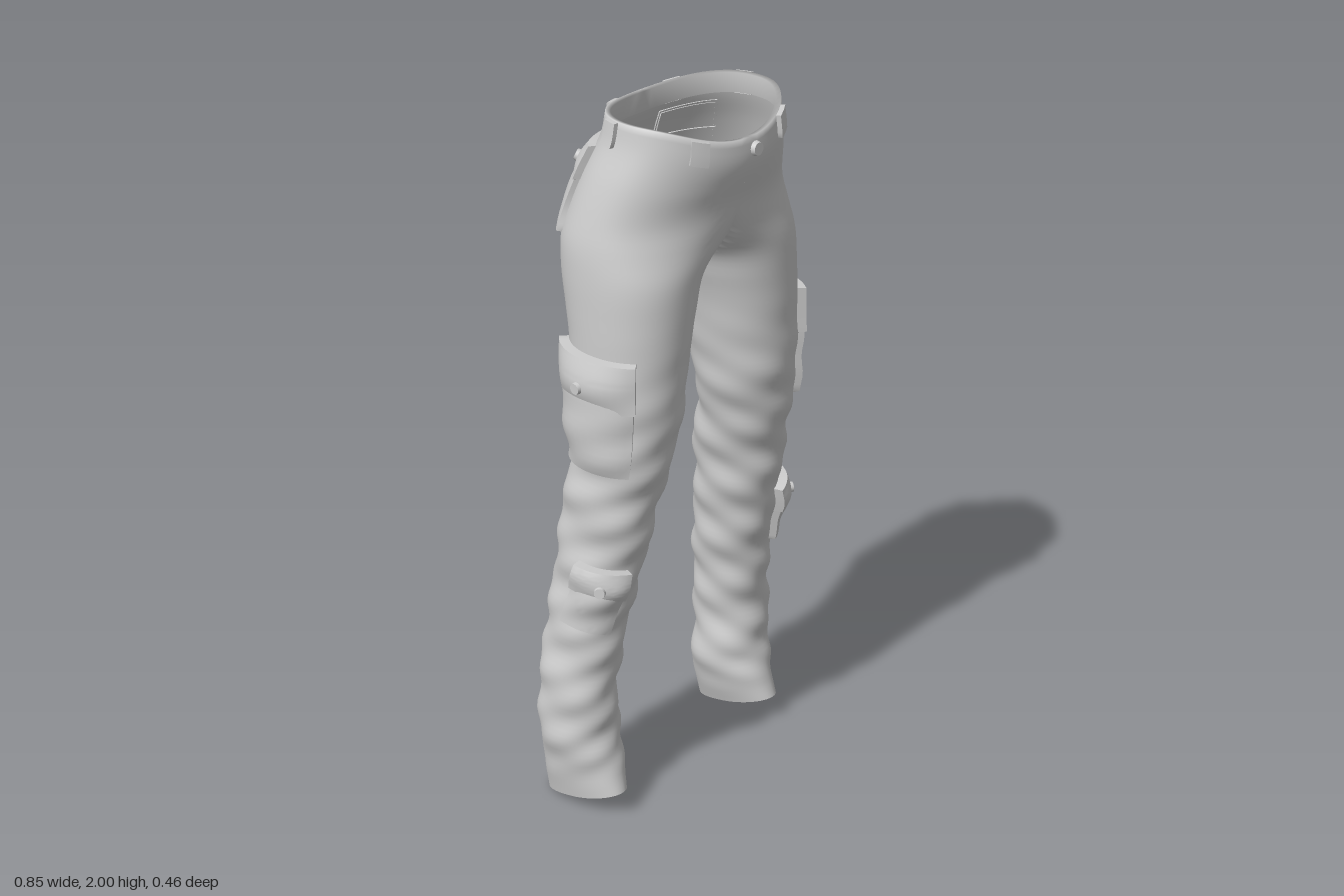
import * as THREE from 'three';
import { toCreasedNormals } from 'three/addons/utils/BufferGeometryUtils.js';

const cloth = new THREE.MeshStandardMaterial({ color: 0xcccccc, side: THREE.DoubleSide });
const rad = THREE.MathUtils.degToRad;

// Leg profile from waist to hem: y, outer x, inner x, front z, back z
const KEYS = [
  [2.0, 0.25, -0.25, 0.225, -0.14], [1.94, 0.262, -0.262, 0.228, -0.15],
  [1.85, 0.295, -0.295, 0.212, -0.185], [1.75, 0.325, -0.3, 0.19, -0.215],
  [1.68, 0.342, -0.14, 0.18, -0.215], [1.6, 0.35, 0, 0.18, -0.19],
  [1.5, 0.353, 0.045, 0.178, -0.165], [1.4, 0.355, 0.07, 0.175, -0.145],
  [1.2, 0.36, 0.1, 0.165, -0.128], [1.08, 0.362, 0.125, 0.145, -0.112],
  [0.98, 0.366, 0.148, 0.125, -0.15], [0.8, 0.375, 0.175, 0.09, -0.165],
  [0.6, 0.39, 0.2, 0.045, -0.19], [0.4, 0.413, 0.222, 0.02, -0.205],
  [0.28, 0.42, 0.222, 0.02, -0.206], [0.18, 0.413, 0.215, 0.03, -0.206],
  [0.1, 0.398, 0.235, 0.05, -0.204], [0.04, 0.387, 0.255, 0.07, -0.2],
];

// Smooth (Hermite) interpolation of the profile at height y
function section(y) {
  let i = 0;
  while (i < KEYS.length - 2 && y < KEYS[i + 1][0]) i++;
  const p = KEYS[i], q = KEYS[i + 1], o = KEYS[i - 1] || p, r = KEYS[i + 2] || q;
  const h = q[0] - p[0], t = (y - p[0]) / h;
  return [1, 2, 3, 4].map((k) => {
    const m0 = ((q[k] - o[k]) / (q[0] - o[0])) * h, m1 = ((r[k] - p[k]) / (r[0] - p[0])) * h;
    const t2 = t * t, t3 = t2 * t;
    return (2 * t3 - 3 * t2 + 1) * p[k] + (t3 - 2 * t2 + t) * m0 + (3 * t2 - 2 * t3) * q[k] + (t3 - t2) * m1;
  });
}

// Point on the cloth at height y and angle a (0 = outer side, 90 degrees = front)
function surface(y, a, off = 0) {
  const [out, inn, front, back] = section(y);
  const c = Math.cos(a), s = Math.sin(a);
  const soft = (v) => Math.sign(v) * Math.abs(v) ** 0.94;
  // soft folds around the knee and shin
  const folds = THREE.MathUtils.smoothstep(1.5 - y, 0, 0.5) * THREE.MathUtils.smoothstep(y, 0.05, 0.2);
  const wave = folds * (0.004 * Math.sin(34 * y + 2 * a) + 0.003 * Math.sin(57 * y - 3 * a + 1));
  const d = off + wave;
  const x = (out + inn) / 2 + ((out - inn) / 2) * soft(c) + d * c;
  const z = (front + back) / 2 + ((front - back) / 2) * soft(s) + d * s;
  // slanted hem and dipped waist edge
  const hem = (1 - THREE.MathUtils.smoothstep(y, 0.04, 0.35)) * 0.04 * s;
  const dip = THREE.MathUtils.smoothstep(y, 1.75, 1.95) * (s > 0 ? 0.055 : 0.018) * Math.abs(s) ** 3;
  return new THREE.Vector3(x, y + hem - dip, z);
}

// Skin rows of points; side = -1 mirrors; faces lying in the centre plane are dropped
function skin(rows, side, closed) {
  const n = rows[0].length, pos = [], idx = [];
  rows.flat().forEach((p) => pos.push(p.x * side, p.y, p.z));
  const tri = (a, b, c) => {
    if ([a, b, c].every((i) => Math.abs(pos[3 * i]) < 1e-6)) return;
    if (side > 0) idx.push(a, b, c); else idx.push(a, c, b);
  };
  for (let i = 0; i < rows.length - 1; i++) {
    for (let j = 0; j < (closed ? n : n - 1); j++) {
      const k = (j + 1) % n, a = i * n + j, b = i * n + k;
      tri(a, b, a + n);
      tri(b, b + n, a + n);
    }
  }
  const g = new THREE.BufferGeometry();
  g.setAttribute('position', new THREE.Float32BufferAttribute(pos, 3));
  g.setIndex(idx);
  g.computeVertexNormals();
  return g;
}

function add(parent, name, geometry) {
  const m = new THREE.Mesh(geometry, cloth);
  m.name = name;
  parent.add(m);
  return m;
}

// One leg with its half of the hips
function legGeometry(side) {
  const N = 64, ROWS = 110, rows = [];
  const ring = (y, off) => Array.from({ length: N }, (_, j) => {
    const p = surface(y, (j / N) * Math.PI * 2, off);
    p.x = Math.max(0, p.x);
    return p;
  });
  rows.push(ring(1.94, -0.014), ring(1.998, -0.014)); // inner waistband
  for (let i = 0; i <= ROWS; i++) rows.push(ring(2 - (1.96 * i) / ROWS, 0));
  const g = skin(rows, side, true);
  // smooth shading across the centre seam
  const p = g.attributes.position, nor = g.attributes.normal, v = new THREE.Vector3();
  for (let i = 0; i < p.count; i++) {
    if (Math.abs(p.getX(i)) > 1e-6) continue;
    v.set(0, nor.getY(i), nor.getZ(i)).normalize();
    nor.setXYZ(i, v.x, v.y, v.z);
  }
  return g;
}

// Raised patch that follows the cloth: angles in degrees, puffed in the middle
function patch(side, { a0, a1, y0, y1, thick, puff = 0, skew = 0, tilt = 0, n = 14 }) {
  const steps = [0, ...Array.from({ length: n + 1 }, (_, i) => 0.015 + (0.97 * i) / n), 1];
  const rows = steps.map((v) => steps.map((u) => {
    const edge = u === 0 || u === 1 || v === 0 || v === 1;
    const bulge = puff * Math.sin(Math.PI * u) * Math.sin(Math.PI * v);
    const a = rad(a0 + (a1 - a0) * u + skew * v);
    return surface(y1 + (y0 - y1) * v + tilt * (0.5 - u), a, edge ? -0.006 : thick + bulge);
  }));
  return toCreasedNormals(skin(rows, side, false), rad(50));
}

// Round button seated on the cloth
function button(parent, name, side, y, deg, off, r = 0.017) {
  const a = rad(deg), p = surface(y, a, off);
  const du = surface(y, a + 0.05, off).sub(p), dv = surface(y - 0.02, a, off).sub(p);
  const normal = du.cross(dv).normalize();
  p.x *= side;
  normal.x *= side;
  const m = add(parent, name, new THREE.CylinderGeometry(r * 0.85, r, 0.014, 20));
  m.position.copy(p);
  m.quaternion.setFromUnitVectors(new THREE.Vector3(0, 1, 0), normal);
}

// Pocket bag, overlapping flap and button
function pocket(parent, name, side, o) {
  const g = new THREE.Group();
  g.name = name;
  parent.add(g);
  add(g, 'pocketBag', patch(side, o));
  const h = o.y1 - o.y0, f = o.flap;
  add(g, 'pocketFlap', patch(side, {
    ...o, a0: o.a0 - 1.5, a1: o.a1 + 1.5, y1: o.y1 + 0.008, y0: o.y1 - h * f,
    thick: o.thick + 0.006, puff: o.puff * 0.9, skew: (o.skew || 0) * f,
  }));
  button(g, 'pocketButton', side, o.y1 - h * f * 0.55, (o.a0 + o.a1) / 2 + (o.skew || 0) * f * 0.5,
    o.thick + o.puff * 0.9 + 0.007);
}

export function createModel() {
  const model = new THREE.Group();
  model.name = 'cargoTrousers';

  for (const side of [1, -1]) {
    const half = new THREE.Group();
    half.name = side > 0 ? 'leftHalf' : 'rightHalf';
    model.add(half);

    add(half, 'trouserLeg', legGeometry(side));

    pocket(half, 'thighPocket', side,
      { a0: -52, a1: 44, y0: 1.085, y1: 1.4, thick: 0.02, puff: 0.018, skew: 3, flap: 0.4 });
    pocket(half, 'calfPocket', side,
      { a0: 6, a1: 76, y0: 0.605, y1: 0.79, thick: 0.02, puff: 0.016, skew: -8, tilt: 0.025, flap: 0.4 });
    pocket(half, 'backPocket', side,
      { a0: -72, a1: -35, y0: 1.685, y1: 1.905, thick: 0.014, puff: 0.012, flap: 0.38 });

    // Belt loops at front, side and back
    for (const [deg, w] of [[55, 6], [-14, 7], [-66, 6]]) {
      add(half, 'beltLoop', patch(side,
        { a0: deg - w, a1: deg + w, y0: 1.935, y1: 1.998, thick: 0.012, n: 4 }));
    }
  }

  button(model, 'waistButton', 1, 1.965, 86, 0.004, 0.02);
  return model;
}
